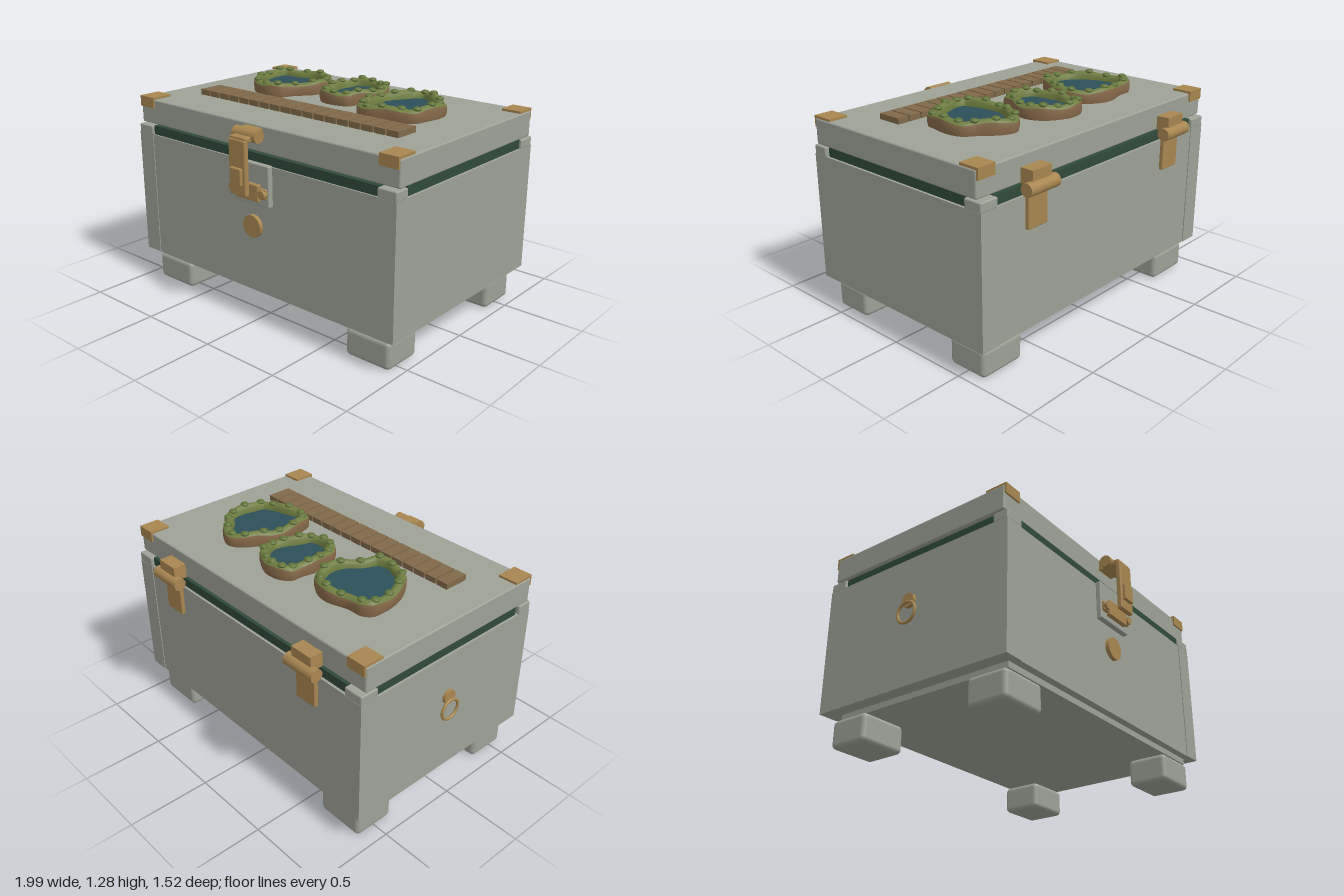
import * as THREE from 'three';
import { RoundedBoxGeometry } from 'three/addons/geometries/RoundedBoxGeometry.js';

const mat = (name, color, side = THREE.FrontSide) => {
  const m = new THREE.MeshStandardMaterial({ color, side });
  m.name = name;
  return m;
};

export function createModel() {
  const root = new THREE.Group();
  root.name = 'chest';
  const grey = mat('greyPaint', 0x9da196);
  const brass = mat('brass', 0xa88650);
  const seal = mat('darkGreenSeal', 0x2f4a39);
  const wood = mat('plankWood', 0x80694a);
  const earth = mat('earthBrown', 0x86694a, THREE.DoubleSide);
  const moss = mat('mossGreen', 0x6f7d40, THREE.DoubleSide);
  const leaf = mat('leafGreen', 0x617439);
  const water = mat('water', 0x2c5059);

  const add = (name, geo, material, x = 0, y = 0, z = 0) => {
    const m = new THREE.Mesh(geo, material);
    m.name = name;
    m.position.set(x, y, z);
    root.add(m);
    return m;
  };
  // Box given by its limits, optionally with rounded edges
  const box = (name, material, x0, x1, y0, y1, z0, z1, r = 0) => {
    const s = [x1 - x0, y1 - y0, z1 - z0];
    const geo = r ? new RoundedBoxGeometry(...s, 3, r) : new THREE.BoxGeometry(...s);
    return add(name, geo, material, (x0 + x1) / 2, (y0 + y1) / 2, (z0 + z1) / 2);
  };
  // Cylinder along the x or z axis
  const rod = (name, material, axis, r, len, x, y, z) => {
    const geo = new THREE.CylinderGeometry(r, r, len, 28);
    if (axis === 'x') geo.rotateZ(Math.PI / 2); else geo.rotateX(Math.PI / 2);
    return add(name, geo, material, x, y, z);
  };

  // Body, corner posts with caps, base and feet
  box('body', grey, -0.965, 0.995, 0.2, 0.97, -0.675, 0.625);
  for (const [x0, x1] of [[-0.965, -0.845], [0.875, 0.995]]) {
    for (const [z0, z1] of [[-0.68, -0.565], [0.535, 0.63]]) {
      box('cornerPost', grey, x0, x1, 0.2, 0.97, z0, z1);
      box('postCap', grey, x0, x1, 0.967, 1.023, z0, z1, 0.008);
    }
  }
  box('basePlate', grey, -0.885, 0.915, 0.165, 0.2, -0.585, 0.58);
  for (const [x0, x1] of [[-0.91, -0.61], [0.645, 0.94]])
    for (const [z0, z1] of [[-0.63, -0.375], [0.335, 0.585]])
      box('foot', grey, x0, x1, 0, 0.167, z0, z1, 0.028);

  // Seal between body and lid
  box('sealFrontBack', seal, -0.845, 0.875, 0.965, 1.024, -0.66, 0.615);
  box('sealSides', seal, -0.95, 0.98, 0.965, 1.024, -0.565, 0.52);
  for (const x of [-0.58, 0.61]) box('sealPad', seal, x - 0.11, x + 0.11, 1.022, 1.032, -0.6, 0.55);

  // Lid with brass corner guards
  box('lid', grey, -0.965, 0.995, 1.03, 1.182, -0.65, 0.605, 0.01);
  for (const [x0, x1] of [[-0.96, -0.84], [0.87, 0.99]]) {
    box('cornerTop', brass, x0, x1, 1.178, 1.195, 0.48, 0.615);
    box('cornerFront', brass, x0, x1, 1.13, 1.195, 0.602, 0.615);
    box('cornerTop', brass, x0, x1, 1.178, 1.195, -0.66, -0.535);
    box('cornerBack', brass, x0, x1, 1.13, 1.195, -0.66, -0.647);
  }

  // Hinges
  for (const x of [-0.58, 0.61]) {
    rod('hingeBarrel', brass, 'x', 0.038, 0.22, x, 1.02, -0.722);
    box('hingeUpperLeaf', brass, x - 0.073, x + 0.073, 1.03, 1.115, -0.73, -0.645);
    box('hingeLowerLeaf', brass, x - 0.073, x + 0.073, 0.79, 1.02, -0.706, -0.68, 0.006);
  }

  // Front latch
  box('latchPlate', grey, -0.13, 0.16, 0.74, 0.98, 0.62, 0.656, 0.008);
  box('latchCatch', brass, -0.075, 0.105, 0.77, 0.87, 0.655, 0.685, 0.008);
  box('latchCatchBar', brass, -0.12, 0.15, 0.79, 0.85, 0.65, 0.672, 0.008);
  for (const x of [-0.097, 0.13]) rod('latchRivet', brass, 'z', 0.025, 0.03, x, 0.82, 0.673);
  box('latchLever', brass, -0.05, 0.075, 0.81, 1.125, 0.715, 0.746, 0.008);
  box('latchArm', brass, -0.05, 0.075, 1.11, 1.14, 0.66, 0.738, 0.008);
  box('latchGrip', brass, -0.03, 0.055, 0.87, 0.97, 0.74, 0.764, 0.006);
  rod('latchBarrel', brass, 'x', 0.037, 0.175, 0.013, 1.137, 0.66);
  box('latchMount', brass, -0.05, 0.075, 1.105, 1.17, 0.6, 0.65);
  rod('frontDisc', brass, 'z', 0.067, 0.024, 0.013, 0.6, 0.638);

  // Pull ring on the right side
  rod('ringBoss', brass, 'x', 0.042, 0.025, -0.973, 0.697, -0.03);
  const ring = add('pullRing', new THREE.TorusGeometry(0.062, 0.009, 10, 36), brass, -0.99, 0.62, -0.03);
  ring.rotation.y = Math.PI / 2;

  // Row of planks
  for (let i = 0; i < 18; i++) {
    const x = -0.74 + i * 0.0843;
    box('plank', wood, x, x + 0.074, 1.18, 1.216, 0.165, 0.32);
  }

  // Ponds: outlines as [x, z]
  const outlines = [
    [[-0.68, -0.25], [-0.67, -0.32], [-0.62, -0.36], [-0.53, -0.365], [-0.4, -0.4], [-0.31, -0.385], [-0.22, -0.32], [-0.18, -0.21],
      [-0.2, -0.11], [-0.27, -0.02], [-0.31, 0.065], [-0.39, 0.1], [-0.48, 0.08], [-0.57, 0.03], [-0.64, -0.07], [-0.67, -0.16]],
    [[-0.135, -0.24], [-0.12, -0.32], [-0.115, -0.39], [-0.06, -0.435], [0.03, -0.45], [0.12, -0.42], [0.19, -0.37], [0.23, -0.28],
      [0.215, -0.19], [0.175, -0.11], [0.145, -0.03], [0.07, 0], [-0.03, -0.005], [-0.1, -0.06], [-0.12, -0.15]],
    [[0.265, -0.11], [0.28, -0.21], [0.32, -0.28], [0.37, -0.36], [0.445, -0.405], [0.535, -0.375], [0.61, -0.305], [0.69, -0.24],
      [0.71, -0.14], [0.695, -0.05], [0.675, 0.035], [0.605, 0.08], [0.51, 0.11], [0.41, 0.138], [0.32, 0.11], [0.285, 0.02]],
  ];
  // Cross-sections as [distance inward, height]
  const bank = [[0.004, 1.18], [0, 1.2], [0, 1.23], [0.004, 1.246]];
  const rim = [[0.004, 1.246], [0.014, 1.258], [0.03, 1.263], [0.046, 1.257], [0.056, 1.243], [0.06, 1.215], [0.06, 1.185]];
  const N = 96;

  outlines.forEach((pts, k) => {
    const curve = new THREE.CatmullRomCurve3(pts.map(([x, z]) => new THREE.Vector3(x, 0, z)), true);
    // Point on the rim at parameter t, moved inward, with a gentle wave in height
    const at = (t, d, y) => {
      const p = curve.getPointAt(t % 1), q = curve.getTangentAt(t % 1);
      const wave = 0.007 * Math.sin(t * Math.PI * 10 + k * 2) * Math.min(1, Math.max(0, (y - 1.2) / 0.04));
      return new THREE.Vector3(p.x - q.z * d, y + wave, p.z + q.x * d);
    };
    const sweep = (profile) => {
      const pos = [], idx = [], M = profile.length;
      for (let i = 0; i < N; i++) for (const [d, y] of profile) pos.push(...at(i / N, d, y).toArray());
      for (let i = 0; i < N; i++) {
        for (let j = 0; j < M - 1; j++) {
          const a = i * M + j, b = ((i + 1) % N) * M + j;
          idx.push(a, a + 1, b, b, a + 1, b + 1);
        }
      }
      const g = new THREE.BufferGeometry();
      g.setAttribute('position', new THREE.Float32BufferAttribute(pos, 3));
      g.setIndex(idx);
      g.computeVertexNormals();
      return g;
    };
    add('pondBank', sweep(bank), earth);
    add('pondRim', sweep(rim), moss);

    // Water surface
    const edge = [];
    for (let i = 0; i < N; i++) {
      const p = at(i / N, 0.058, 1.2);
      edge.push(new THREE.Vector2(p.x, -p.z));
    }
    const surface = new THREE.ShapeGeometry(new THREE.Shape(edge));
    surface.rotateX(-Math.PI / 2);
    add('pondWater', surface, water, 0, 1.22, 0);

    // Leafy tufts around the rim
    const tufts = [13, 14, 14][k];
    for (let i = 0; i < tufts; i++) {
      const p = at((i + 0.3) / tufts, 0.03 + 0.008 * Math.sin(i * 2.3), 1.262);
      const tuft = add('tuft', new THREE.SphereGeometry(0.025, 14, 10), leaf, p.x, p.y, p.z);
      tuft.scale.y = 0.55;
    }
  });
  return root;
}
